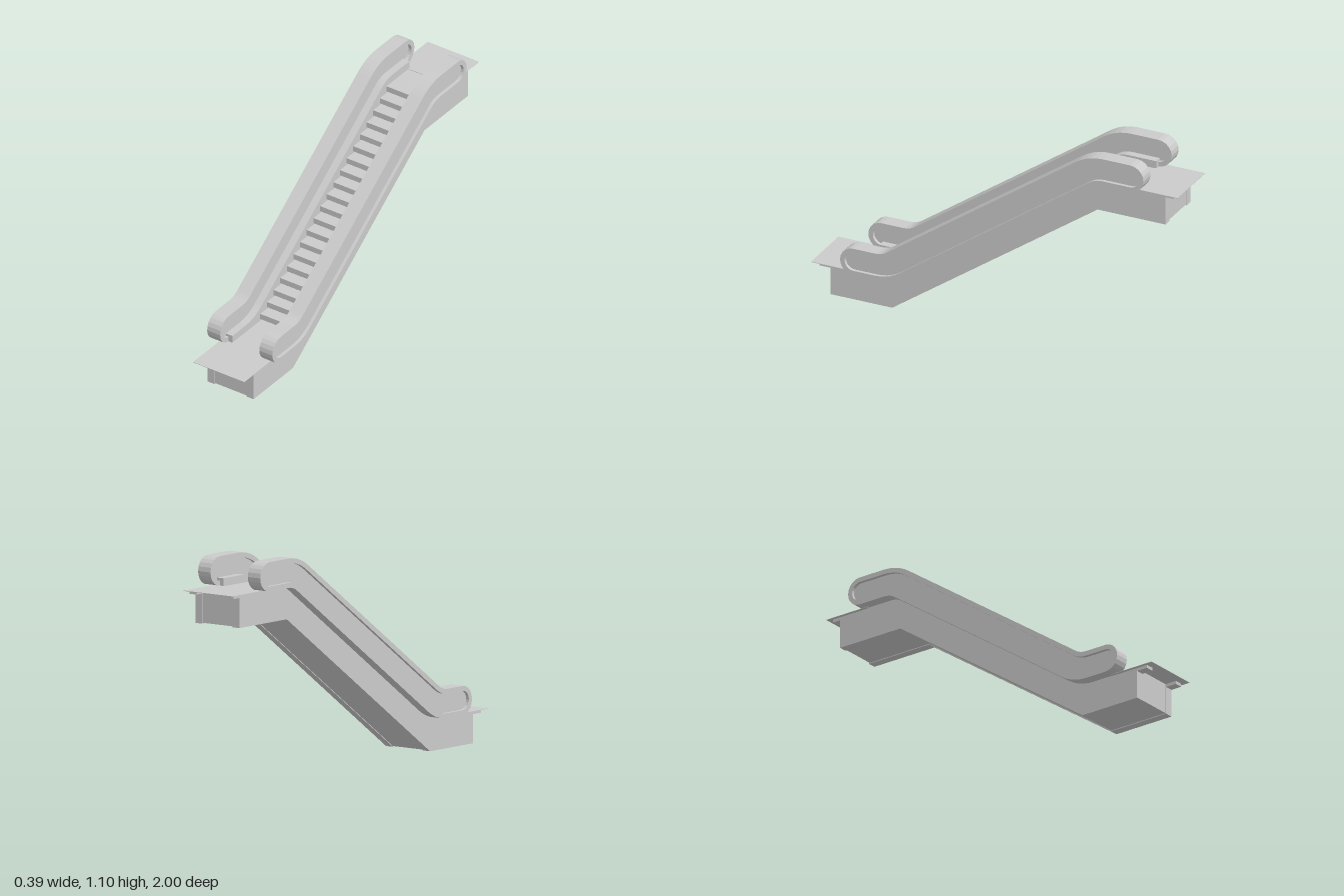
import * as THREE from 'three';

const LOW = 0.16, HIGH = 0.95;          // landing heights
const Y0 = 0.2345, Y1 = 1.025;          // handrail centre heights
const STEPS = 20;

const mat = new THREE.MeshStandardMaterial({ color: 0xcccccc, flatShading: true, side: THREE.DoubleSide });
const V = (z, y) => new THREE.Vector2(z, y);

// Balustrade centre line in the (z, y) plane, with rounded bends
function centreLine() {
  const ends = [V(0.7475, Y0), V(-0.7625, Y1)];
  const bends = [V(0.57, Y0), V(-0.555, Y1)];
  const knots = [ends[0], ...bends, ends[1]];
  const pts = [ends[0]];
  for (let i = 1; i <= 2; i++) {
    const toward = (k) => knots[k].clone().sub(knots[i]).setLength(0.06).add(knots[i]);
    pts.push(...new THREE.QuadraticBezierCurve(toward(i - 1), knots[i], toward(i + 1)).getPoints(5));
  }
  pts.push(ends[1]);
  return pts;
}
const line = centreLine();

// Centre line moved sideways by d (positive is up)
function offset(d) {
  return line.map((p, i) => {
    const t = line[Math.min(i + 1, line.length - 1)].clone().sub(line[Math.max(i - 1, 0)]).normalize();
    if (i === 0 || i === line.length - 1) t.set(-1, 0);
    return V(p.x + t.y * d, p.y - t.x * d);
  });
}

// Closed outline around the centre line with half-round ends
function loop(r) {
  const arc = (c, from) => Array.from({ length: 9 }, (_, i) => {
    const a = from + Math.PI * (i + 1) / 10;
    return V(c.x + r * Math.cos(a), c.y + r * Math.sin(a));
  });
  return [...offset(r), ...arc(line[line.length - 1], Math.PI / 2),
    ...offset(-r).reverse(), ...arc(line[0], -Math.PI / 2)];
}

// Extrude a (z, y) outline from x0 to x1
function slab(name, outline, x0, x1, hole) {
  const shape = new THREE.Shape(outline);
  if (hole) shape.holes.push(new THREE.Path(hole));
  const g = new THREE.ExtrudeGeometry(shape, { depth: x1 - x0, bevelEnabled: false });
  g.rotateY(-Math.PI / 2).translate(x1, 0, 0);
  const m = new THREE.Mesh(g, mat);
  m.name = name;
  return m;
}

// Side wall of the truss, with a small flange under each landing plate
function wallOutline() {
  return [
    V(0.9, 0), V(0.9, LOW - 0.016), V(0.96, LOW - 0.016), V(0.96, LOW), V(0.7475, LOW),
    ...offset(-0.07),
    V(-0.7625, HIGH), V(-0.972, HIGH), V(-0.972, HIGH - 0.016), V(-0.927, HIGH - 0.016),
    V(-0.927, 0.785), V(-0.557, 0.785), V(0.563, 0),
  ];
}

// Core between the walls: landings, steps with undercut risers, and underside
function coreOutline() {
  const e = 0.004, rise = (HIGH - LOW) / STEPS, run = 0.0566;
  const pts = [V(0.9 - e, e), V(0.9 - e, LOW)];
  for (let i = 0; i < STEPS; i++) {
    const z = 0.51 - run * i, y = LOW + rise * i;
    pts.push(V(z - 0.012, y), V(z, y + 0.01), V(z, y + rise));
  }
  pts.push(V(-0.927 + e, HIGH), V(-0.927 + e, 0.785 + e), V(-0.557, 0.785 + e), V(0.563, e));
  return pts;
}

function landingPlate(name, y, z0, z1) {
  const m = new THREE.Mesh(new THREE.BoxGeometry(0.306, 0.002, Math.abs(z1 - z0)), mat);
  m.position.set(0, y + 0.001, (z0 + z1) / 2);
  m.name = name;
  return m;
}

export function createModel() {
  const model = new THREE.Group();
  model.name = 'escalator';

  model.add(slab('steps', coreOutline(), -0.095, 0.095));
  model.add(landingPlate('lowerLandingPlate', LOW, 0.75, 1));
  model.add(landingPlate('upperLandingPlate', HIGH, -0.75, -1));

  const skirt = [...offset(-0.035), ...offset(-0.0745).reverse()];
  for (const [side, s] of [['left', 1], ['right', -1]]) {
    const add = (name, outline, a, b, hole) =>
      model.add(slab(side + name, outline, Math.min(s * a, s * b), Math.max(s * a, s * b), hole));
    add('TrussWall', wallOutline(), 0.095, 0.138);
    add('Skirt', skirt, 0.095, 0.136);
    add('Handrail', loop(0.0725), 0.117, 0.195, loop(0.048));
    add('BalustradePanel', loop(0.049), 0.134, 0.178);
  }
  return model;
}
